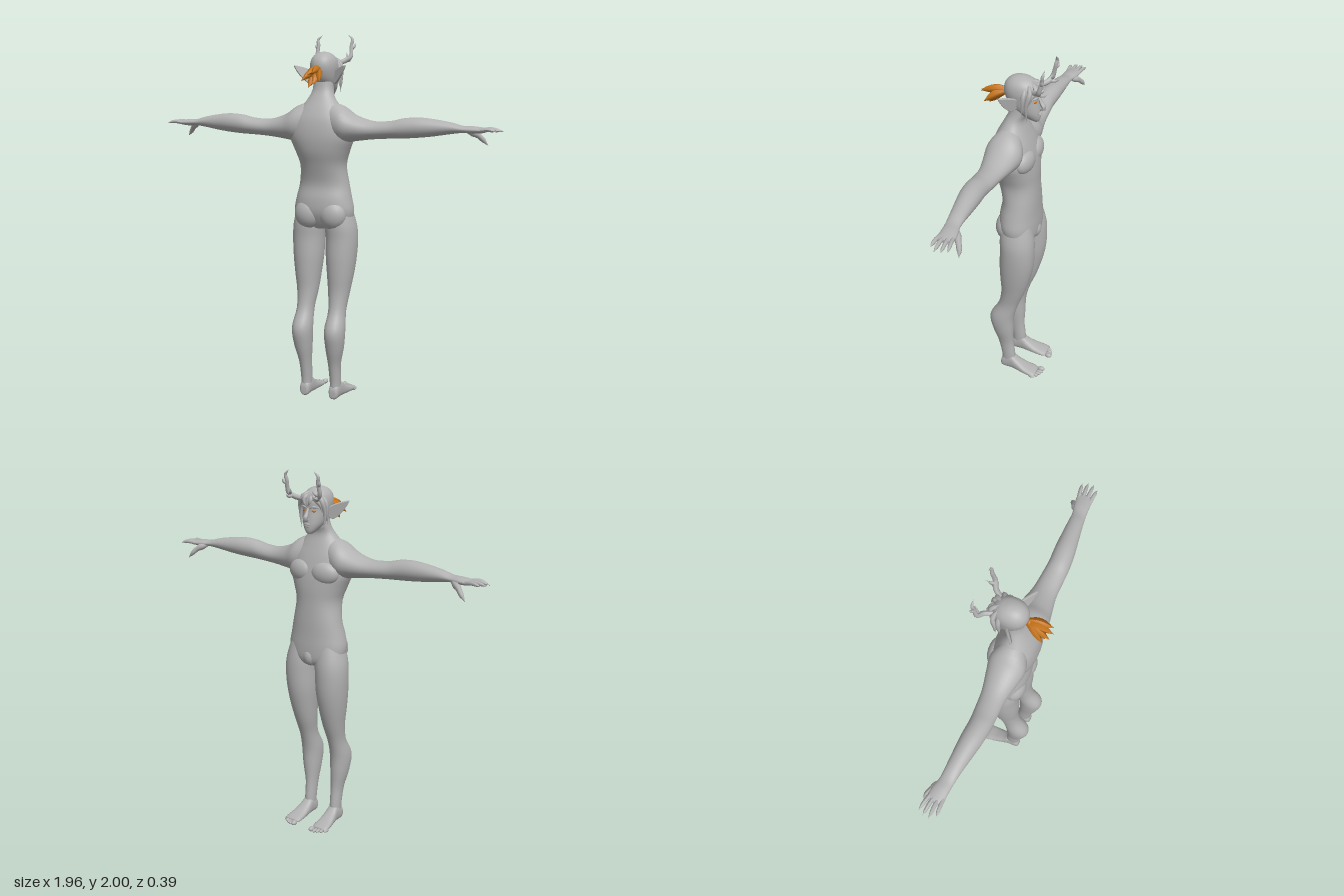
import * as THREE from 'three';
import { mergeVertices } from 'three/addons/utils/BufferGeometryUtils.js';

const V = (a) => new THREE.Vector3(...a);

// Smooth value through a list of numbers, t in 0..1
function spline(list, t) {
  const n = list.length - 1, f = t * n, i = Math.min(Math.floor(f), n - 1), u = f - i;
  const p0 = list[Math.max(i - 1, 0)], p1 = list[i], p2 = list[i + 1], p3 = list[Math.min(i + 2, n)];
  return p1 + 0.5 * u * (p2 - p0 + u * (2 * p0 - 5 * p1 + 4 * p2 - p3 + u * (3 * (p1 - p2) + p3 - p0)));
}

// Skin over cross-sections [position along axis, aMin, aMax, bMin, bMax]
function loft(axis, rows, power = 2, sides = 28, steps = 4) {
  const count = (rows.length - 1) * steps, pos = [], idx = [];
  const put = (t, a, b) => pos.push(...(axis === 'y' ? [a, t, b] : axis === 'x' ? [t, a, b] : [a, b, t]));
  const round = (v) => Math.sign(v) * Math.abs(v) ** (2 / power);
  const at = (k, t) => spline(rows.map((r) => r[k]), t);
  for (let i = 0; i <= count; i++) {
    const [t, a0, a1, b0, b1] = [0, 1, 2, 3, 4].map((k) => at(k, i / count));
    for (let j = 0; j < sides; j++) {
      const w = (j / sides) * Math.PI * 2;
      put(t, (a0 + a1) / 2 + (a1 - a0) / 2 * round(Math.cos(w)), (b0 + b1) / 2 + (b1 - b0) / 2 * round(Math.sin(w)));
    }
  }
  for (const r of [rows[0], rows[rows.length - 1]]) put(r[0], (r[1] + r[2]) / 2, (r[3] + r[4]) / 2);
  const end = (count + 1) * sides;
  for (let j = 0; j < sides; j++) {
    const k = (j + 1) % sides, last = count * sides;
    for (let i = 0; i < count; i++) {
      const p = i * sides + j, q = i * sides + k;
      idx.push(p, p + sides, q, q, p + sides, q + sides);
    }
    idx.push(end, j, k, end + 1, last + k, last + j);
  }
  // turn the faces outward, whichever way the sections run
  const forward = rows[rows.length - 1][0] > rows[0][0];
  if ((axis === 'y') !== forward) idx.reverse();
  const g = new THREE.BufferGeometry();
  g.setAttribute('position', new THREE.Float32BufferAttribute(pos, 3));
  g.setIndex(idx);
  g.computeVertexNormals();
  return g;
}

// Tube along points with a changing radius
function taper(points, radii, sides = 8, steps = 12) {
  const curve = new THREE.CatmullRomCurve3(points.map(V));
  const g = new THREE.TubeGeometry(curve, steps, 1, sides, false);
  const p = g.attributes.position, v = new THREE.Vector3();
  for (let i = 0; i < p.count; i++) {
    const t = Math.floor(i / (sides + 1)) / steps, c = curve.getPointAt(t);
    v.fromBufferAttribute(p, i).sub(c).multiplyScalar(Math.max(spline(radii, t), 0.0005)).add(c);
    p.setXYZ(i, v.x, v.y, v.z);
  }
  g.computeVertexNormals();
  return g;
}

function blob(c, r, yaw = 0) {
  return new THREE.SphereGeometry(1, 20, 14).scale(...r).rotateY(yaw).translate(...c);
}

// Reflected copy for the other side
function mirror(geo) {
  const g = geo.index ? geo.clone() : mergeVertices(geo);
  g.scale(-1, 1, 1);
  const a = g.index.array;
  for (let i = 0; i < a.length; i += 3) [a[i], a[i + 1]] = [a[i + 1], a[i]];
  return g;
}

export function createModel() {
  const model = new THREE.Group();
  const grey = new THREE.MeshStandardMaterial({ color: 0xb2b2b2 });
  grey.name = 'grey';
  const orange = new THREE.MeshStandardMaterial({ color: 0xc8761a });
  orange.name = 'orange';
  const add = (name, geo, mat = grey) => {
    const m = new THREE.Mesh(geo, mat);
    m.name = name;
    model.add(m);
  };
  const pair = (name, geo, mat) => {
    add('left ' + name, geo, mat);
    add('right ' + name, mirror(geo), mat);
  };
  const wide = (rows) => rows.map(([y, h, f, b]) => [y, -h, h, f, b]);

  // Torso and neck; the figure faces -z
  add('torso', loft('y', wide([
    [0.955, 0.07, -0.115, 0.03], [0.99, 0.15, -0.128, 0.055], [1.05, 0.17, -0.13, 0.078], [1.12, 0.158, -0.127, 0.078],
    [1.2, 0.14, -0.125, 0.066], [1.3, 0.128, -0.12, 0.09], [1.38, 0.152, -0.118, 0.115], [1.46, 0.182, -0.108, 0.124],
    [1.54, 0.17, -0.085, 0.115], [1.6, 0.125, -0.062, 0.092], [1.66, 0.076, -0.042, 0.06], [1.71, 0.057, -0.058, 0.038],
    [1.78, 0.052, -0.07, 0.03]]), 2.2, 36));
  pair('chest muscle', blob([0.075, 1.46, -0.072], [0.08, 0.062, 0.044], -0.15));
  pair('buttock', blob([0.072, 1.035, 0.028], [0.078, 0.082, 0.06]));
  add('groin', blob([0, 1.0, -0.098], [0.042, 0.052, 0.04]));

  // Legs
  pair('leg', loft('y', [
    [1.08, 0.02, 0.15, -0.11, 0.05], [0.98, 0.008, 0.179, -0.13, 0.058], [0.9, 0.012, 0.186, -0.135, 0.056],
    [0.8, 0.015, 0.181, -0.13, 0.06], [0.7, 0.025, 0.169, -0.11, 0.058], [0.6, 0.036, 0.153, -0.08, 0.055],
    [0.5, 0.048, 0.143, -0.042, 0.073], [0.4, 0.042, 0.153, -0.016, 0.124], [0.3, 0.046, 0.144, -0.012, 0.11],
    [0.2, 0.055, 0.122, -0.01, 0.08], [0.1, 0.058, 0.117, -0.02, 0.06], [0.04, 0.06, 0.116, -0.02, 0.058]], 2.1));
  pair('foot', loft('z', [
    [0.063, 0.072, 0.106, 0.01, 0.05], [0.05, 0.06, 0.116, 0, 0.08], [0, 0.056, 0.12, 0, 0.1], [-0.04, 0.052, 0.127, 0, 0.072],
    [-0.09, 0.048, 0.137, 0, 0.046], [-0.135, 0.047, 0.142, 0, 0.032], [-0.16, 0.055, 0.135, 0.004, 0.022]], 2.5, 20));
  for (let i = 0; i < 5; i++) {
    const r = i ? 0.0095 : 0.014;
    pair('toe', blob([0.061 + i * 0.018 + (i ? 0.003 : 0), r, -0.178 + i * i * 0.0022], [r, r, 0.021]));
  }

  // Arms and palms
  pair('arm', loft('x', [
    [0.05, 1.43, 1.645, -0.05, 0.085], [0.13, 1.425, 1.622, -0.08, 0.114], [0.2, 1.437, 1.576, -0.068, 0.105],
    [0.3, 1.45, 1.546, -0.045, 0.086], [0.4, 1.457, 1.549, -0.035, 0.085], [0.47, 1.46, 1.564, -0.03, 0.085],
    [0.55, 1.466, 1.57, -0.033, 0.078], [0.63, 1.475, 1.563, -0.033, 0.065], [0.72, 1.489, 1.548, -0.032, 0.05],
    [0.78, 1.496, 1.532, -0.033, 0.042], [0.83, 1.493, 1.531, -0.045, 0.038], [0.88, 1.497, 1.525, -0.05, 0.036],
    [0.9, 1.503, 1.52, -0.042, 0.028]]));
  const tips = [[0.962, -0.056], [0.98, -0.028], [0.982, 0.004], [0.958, 0.033]];
  tips.forEach(([x, z], i) => {
    const z0 = -0.038 + i * 0.0215;
    pair('finger', taper([[0.87, 1.511, z0], [0.915, 1.516, (z0 + z) / 2], [x, 1.508, z]], [0.011, 0.0105, 0.01, 0.008, 0]));
  });
  pair('thumb', taper([[0.795, 1.508, -0.018], [0.84, 1.485, -0.048], [0.868, 1.457, -0.066], [0.892, 1.43, -0.073]],
    [0.012, 0.019, 0.014, 0.012, 0.001]));

  // Head and face
  add('head', loft('y', wide([
    [1.668, 0.014, -0.117, -0.085], [1.685, 0.031, -0.124, -0.05], [1.715, 0.05, -0.126, -0.005], [1.75, 0.062, -0.123, 0.036],
    [1.79, 0.069, -0.118, 0.058], [1.83, 0.073, -0.12, 0.066], [1.865, 0.066, -0.107, 0.058], [1.89, 0.047, -0.08, 0.036],
    [1.902, 0.024, -0.05, 0.01], [1.906, 0.004, -0.03, -0.015]]), 2.15, 32));
  add('nose', taper([[0, 1.805, -0.113], [0, 1.77, -0.13], [0, 1.746, -0.143], [0, 1.738, -0.12]], [0.005, 0.009, 0.013, 0.008]));
  add('upper lip', blob([0, 1.718, -0.124], [0.02, 0.005, 0.008]));
  add('lower lip', blob([0, 1.708, -0.124], [0.016, 0.005, 0.007]));
  pair('brow', taper([[0.008, 1.802, -0.117], [0.03, 1.808, -0.113], [0.054, 1.801, -0.09]], [0.003, 0.006, 0.002]));
  pair('eye', blob([0.029, 1.786, -0.109], [0.013, 0.006, 0.004], -0.35), orange);

  // Pointed ears
  const outline = new THREE.Shape();
  outline.moveTo(-0.01, 0.022);
  outline.quadraticCurveTo(0.04, 0.034, 0.122, 0);
  outline.quadraticCurveTo(0.06, -0.04, 0.005, -0.038);
  outline.quadraticCurveTo(-0.02, -0.01, -0.01, 0.022);
  const along = V([0.09, 0.065, 0.062]).normalize();
  const out = along.clone().cross(V([-0.3, 0.85, -0.45])).normalize();
  const ear = new THREE.ExtrudeGeometry(outline, {
    depth: 0.006, bevelThickness: 0.003, bevelSize: 0.003, bevelSegments: 2, curveSegments: 10 });
  ear.applyMatrix4(new THREE.Matrix4().makeBasis(along, out.clone().cross(along), out).setPosition(0.062, 1.768, -0.02));
  pair('ear', ear);

  // Branching antlers
  pair('antler', taper([[0.045, 1.845, -0.1], [0.07, 1.858, -0.135], [0.098, 1.878, -0.15], [0.1, 1.915, -0.16],
    [0.098, 1.945, -0.166], [0.103, 1.97, -0.17], [0.077, 1.998, -0.173]], [0.013, 0.014, 0.013, 0.011, 0.01, 0.008, 0], 8, 24));
  pair('antler outer tine', taper([[0.099, 1.925, -0.162], [0.112, 1.934, -0.172], [0.118, 1.957, -0.175]], [0.009, 0.007, 0]));
  pair('antler inner tine', taper([[0.09, 1.87, -0.145], [0.075, 1.885, -0.165], [0.066, 1.905, -0.172]], [0.009, 0.006, 0]));
  pair('antler front tine', taper([[0.08, 1.862, -0.14], [0.085, 1.86, -0.17], [0.082, 1.875, -0.194]], [0.01, 0.007, 0]));

  // Fringe and side locks
  const locks = [
    [[0.01, 1.885, -0.075], [0.035, 1.855, -0.112], [0.062, 1.815, -0.096], [0.066, 1.78, -0.088]],
    [[0.03, 1.88, -0.07], [0.064, 1.845, -0.09], [0.077, 1.77, -0.075], [0.068, 1.685, -0.078]],
    [[0.045, 1.87, -0.06], [0.074, 1.82, -0.06], [0.077, 1.76, -0.055], [0.074, 1.715, -0.05]],
    [[0.012, 1.87, -0.1], [0.02, 1.845, -0.122], [0.014, 1.825, -0.127], [0.004, 1.812, -0.126]]];
  locks.forEach((p) => pair('hair lock', taper(p, [0.006, 0.013, 0.011, 0.007, 0], 6)));

  // Spiky ponytail
  const tail = [[0, 1.787, 0.195], [0.026, 1.795, 0.185], [-0.026, 1.765, 0.185], [0.052, 1.752, 0.16],
    [-0.052, 1.752, 0.16], [0.022, 1.735, 0.17], [-0.012, 1.716, 0.158]];
  tail.forEach(([x, y, z]) => add('ponytail spike', taper(
    [[0, 1.808, 0.052], [x * 0.45, (1.823 + y) / 2 + 0.008, 0.1], [x, y, z]], [0.012, 0.018, 0.02, 0.014, 0], 5, 8), orange));
  add('ponytail tie', blob([0, 1.808, 0.07], [0.02, 0.02, 0.013]), orange);

  return model;
}
